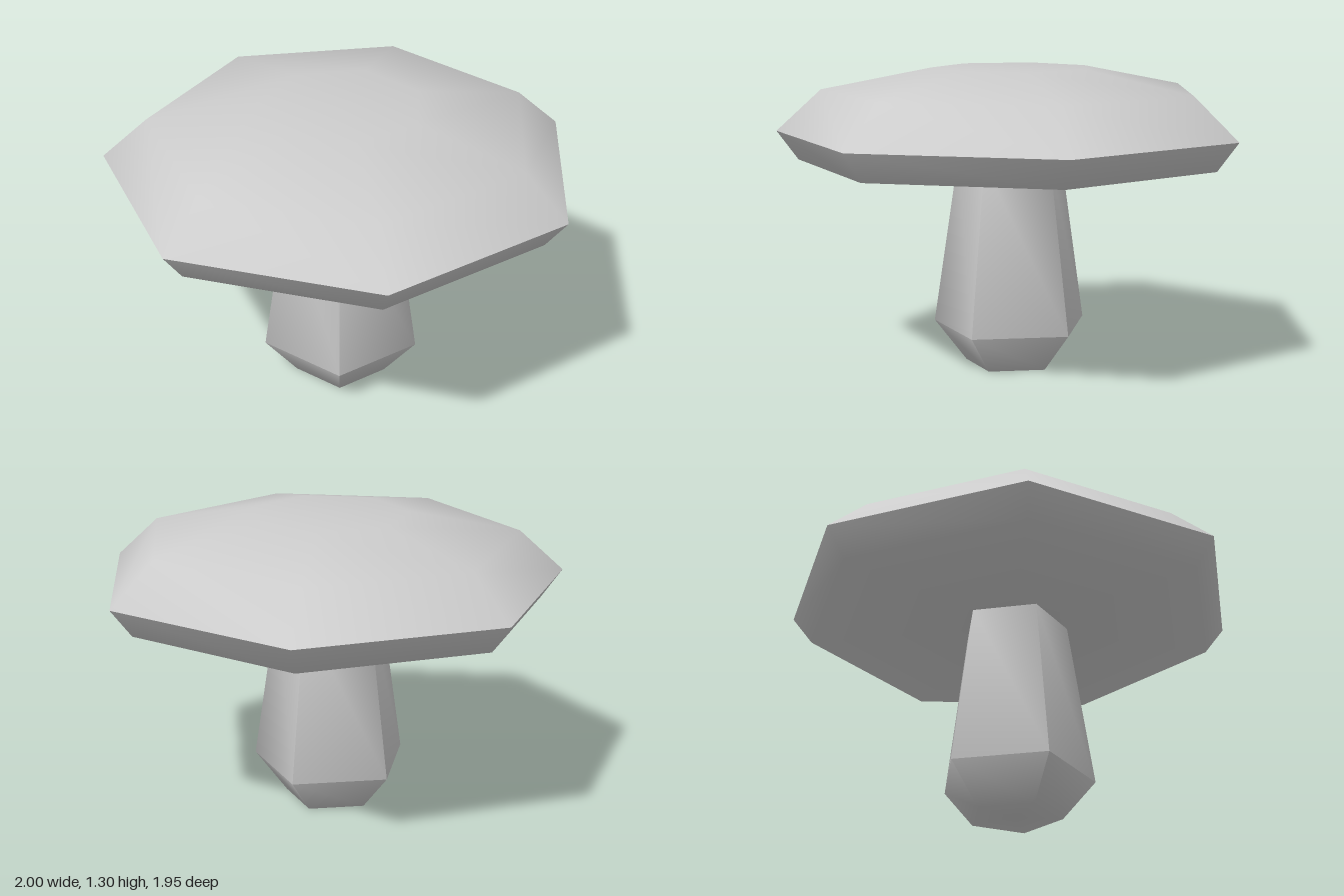
import * as THREE from 'three';
import { toCreasedNormals } from 'three/addons/utils/BufferGeometryUtils.js';

// Few-sided turned solid with one corner towards the back; profile is [radius, height] from bottom to top.
function turned(name, profile, sides, material) {
  const points = profile.map(([r, y]) => new THREE.Vector2(r, y));
  const lathe = new THREE.LatheGeometry(points, sides, Math.PI);
  const mesh = new THREE.Mesh(toCreasedNormals(lathe, THREE.MathUtils.degToRad(75)), material);
  mesh.name = name;
  return mesh;
}

export function createModel() {
  const grey = new THREE.MeshStandardMaterial({ color: 0xcccccc });
  grey.name = 'light grey';

  const mushroom = new THREE.Group();
  mushroom.name = 'mushroom';

  // Seven-sided cap: flat underside, sharp rim, low dome
  const cap = turned('cap', [
    [0, 0.905], [0.933, 0.905], [1.026, 1.03], [0.83, 1.21], [0.35, 1.305], [0, 1.305],
  ], 7, grey);

  // Five-sided stem: narrow foot, bulge, taper up to the cap
  const stem = turned('stem', [
    [0, 0], [0.208, 0], [0.352, 0.173], [0.24, 0.91],
  ], 5, grey);
  stem.position.x = -0.008;

  mushroom.add(cap, stem);
  mushroom.position.z = 0.05;

  const model = new THREE.Group();
  model.add(mushroom);
  return model;
}
